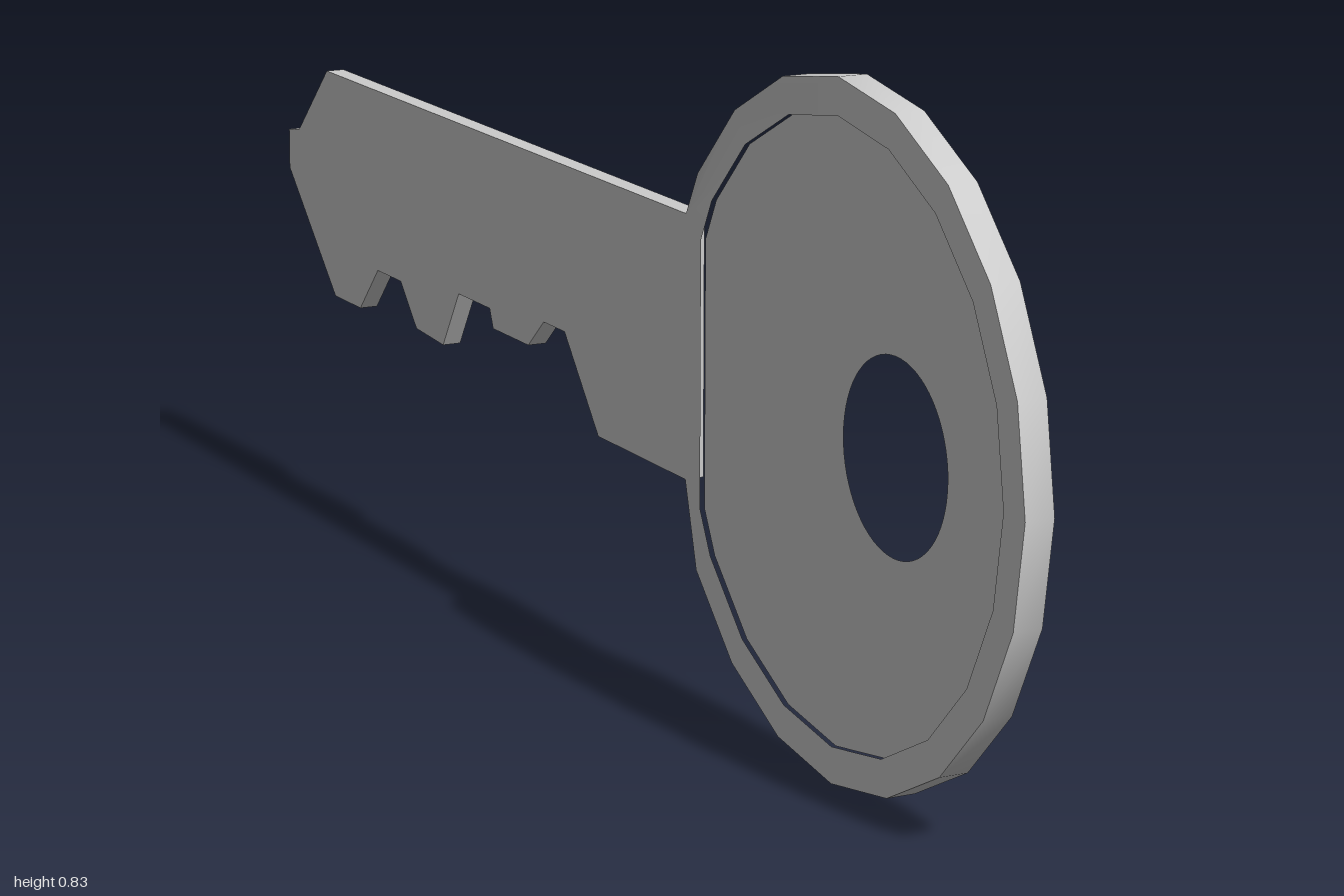
import * as THREE from 'three';
import { toCreasedNormals } from 'three/addons/utils/BufferGeometryUtils.js';

const RIM = 0.0185;    // half thickness of the rim
const PLATE = 0.0125;  // half thickness of blade and recessed panel
const CZ = 0.583, CY = 0.417; // centre of the head
const NECK = 0.205;    // z where the blade meets the head

const toShape = (pts) => new THREE.Shape(pts.map(([z, y]) => new THREE.Vector2(-z, y)));

// Arc of a 20-sided polygon, open toward the blade
function arc(radius) {
  const pts = [];
  for (let k = -8; k <= 8; k++) {
    const a = (k * Math.PI) / 10;
    pts.push([CZ + radius * Math.cos(a), CY + radius * Math.sin(a)]);
  }
  return pts;
}

// Extrude a side profile across x, centred on x = 0
function slab(shape, half) {
  return new THREE.ExtrudeGeometry(shape, { depth: half * 2, bevelEnabled: false, curveSegments: 32 })
    .translate(0, 0, -half)
    .rotateY(Math.PI / 2);
}

export function createModel() {
  const key = new THREE.Group();
  key.name = 'key';
  const material = new THREE.MeshStandardMaterial({ color: 0xcccccc });
  const add = (name, geometry) => {
    const mesh = new THREE.Mesh(toCreasedNormals(geometry, 0.5), material);
    mesh.name = name;
    key.add(mesh);
  };

  // D-shaped outline of the recessed panel
  const inner = [...arc(0.372), [0.255, CY + 0.166], [0.255, CY - 0.166]];

  // Raised rim, thinning to the blade thickness at the neck
  const rimShape = toShape([...arc(0.417), [NECK, 0.605], [NECK, 0.275]]);
  rimShape.holes.push(toShape(inner));
  const rim = slab(rimShape, RIM);
  const pos = rim.attributes.position;
  for (let i = 0; i < pos.count; i++) {
    if (Math.abs(pos.getZ(i) - NECK) < 0.001) pos.setX(i, Math.sign(pos.getX(i)) * PLATE);
  }
  rim.computeVertexNormals();
  add('headRim', rim);

  // Recessed panel with the ring hole
  const panelShape = toShape(inner);
  panelShape.holes.push(new THREE.Path().absarc(-0.71, 0.42, 0.117, 0, Math.PI * 2, true));
  add('headPanel', slab(panelShape, PLATE));

  // Blade with cut teeth and blunt tip
  add('blade', slab(toShape([
    [NECK, 0.605], [-0.865, 0.605], [-0.965, 0.505], [-1, 0.5], [-1, 0.445],
    [-0.845, 0.29], [-0.76, 0.29], [-0.7, 0.355], [-0.625, 0.355], [-0.575, 0.3],
    [-0.49, 0.295], [-0.44, 0.375], [-0.345, 0.375], [-0.335, 0.35], [-0.23, 0.35],
    [-0.185, 0.39], [-0.125, 0.39], [-0.03, 0.275], [NECK, 0.275],
  ]), PLATE));

  return key;
}
